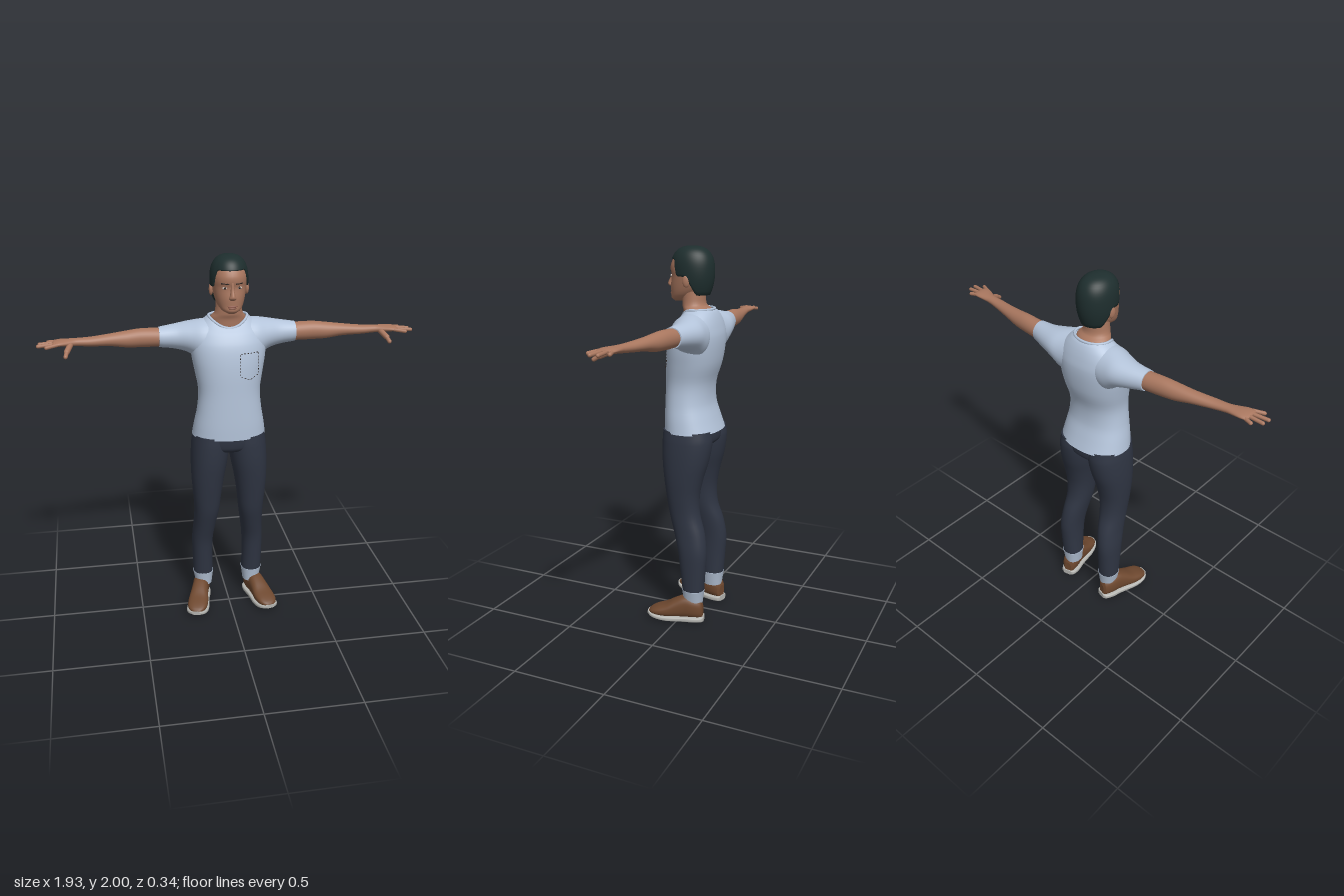
import * as THREE from 'three';

const mat = (name, color, side = THREE.FrontSide) => {
  const m = new THREE.MeshStandardMaterial({ color, side });
  m.name = name;
  return m;
};
const M = {
  skin: mat('skin', 0xa9775f), hair: mat('hair', 0x1e2e2e, THREE.DoubleSide),
  shirt: mat('shirt', 0xb4c4da, THREE.DoubleSide), trousers: mat('trousers', 0x2f3543),
  cuff: mat('cuff', 0xafbdd0), shoe: mat('shoe leather', 0x6e482f), sole: mat('sole', 0xb4b4b0),
  eye: mat('eye white', 0xc9bdb4), dark: mat('dark detail', 0x2a221f), lip: mat('lips', 0x8e5a4b),
};

// Smooth interpolation of rows [t, centreA, centreB, radiusA, radiusB, frontDrop] at t
function sample(rows, t) {
  let i = 0;
  while (i < rows.length - 2 && t > rows[i + 1][0]) i++;
  const p = rows[i], q = rows[i + 1], h = q[0] - p[0], s = (t - p[0]) / h;
  const slope = (k, c) => {
    const a = rows[Math.max(k - 1, 0)], b = rows[Math.min(k + 1, rows.length - 1)];
    return ((b[c] || 0) - (a[c] || 0)) / (b[0] - a[0]);
  };
  return [t, ...[1, 2, 3, 4, 5].map((c) => {
    const s2 = s * s, s3 = s2 * s;
    return (2 * s3 - 3 * s2 + 1) * (p[c] || 0) + (s3 - 2 * s2 + s) * h * slope(i, c)
      + (3 * s2 - 2 * s3) * (q[c] || 0) + (s3 - s2) * h * slope(i + 1, c);
  })];
}

// Turns rings of points into a closed skin, facing outward
function skinRings(rings, capEnd = true) {
  const n = rings[0].length, pos = rings.flat(2), idx = [];
  for (let r = 0; r < rings.length - 1; r++) for (let i = 0; i < n; i++) {
    const a = r * n + i, b = r * n + (i + 1) % n;
    idx.push(a, a + n, b, b, a + n, b + n);
  }
  const cap = (ring, flip) => {
    const base = pos.length / 3;
    pos.push(...ring.flat());
    pos.push(...[0, 1, 2].map((k) => ring.reduce((s, p) => s + p[k], 0) / n));
    for (let i = 0; i < n; i++) {
      const a = base + i, b = base + (i + 1) % n;
      idx.push(base + n, ...(flip ? [b, a] : [a, b]));
    }
  };
  cap(rings[0], false);
  if (capEnd) cap(rings[rings.length - 1], true);
  const v = (i) => new THREE.Vector3(...pos.slice(i * 3, i * 3 + 3)).sub(new THREE.Vector3(...rings[0][0]));
  let vol = 0;
  for (let i = 0; i < idx.length; i += 3) vol += v(idx[i]).dot(v(idx[i + 1]).cross(v(idx[i + 2])));
  if (vol < 0) for (let i = 0; i < idx.length; i += 3) [idx[i], idx[i + 1]] = [idx[i + 1], idx[i]];
  const g = new THREE.BufferGeometry();
  g.setAttribute('position', new THREE.Float32BufferAttribute(pos, 3));
  g.setIndex(idx);
  g.computeVertexNormals();
  return g;
}

// Loft of superellipse sections along one axis
function loft(rows, axis = 'y', { p = 2, side = 1, n = 32, steps = 4, capEnd = true } = {}) {
  const rings = [], pw = (v) => Math.sign(v) * Math.abs(v) ** (2 / p);
  for (let r = 0; r <= (rows.length - 1) * steps; r++) {
    const k = Math.min(Math.floor(r / steps), rows.length - 2), f = r / steps - k;
    const [t, a, b, ra, rb, drop] = sample(rows, rows[k][0] * (1 - f) + rows[k + 1][0] * f);
    rings.push(Array.from({ length: n }, (_, i) => {
      const th = (i / n) * Math.PI * 2, s = Math.sin(th);
      const u = a + ra * pw(Math.cos(th)), v = b + rb * pw(s), w = t + drop * Math.max(0, s) ** 2;
      return axis === 'y' ? [side * u, w, v] : axis === 'x' ? [side * w, u, v] : [side * u, v, w];
    }));
  }
  return skinRings(rings, capEnd);
}

function add(parent, name, geo, material) {
  const m = new THREE.Mesh(geo, material);
  m.name = name;
  parent.add(m);
  return m;
}
function ball(parent, name, material, pos, scale) {
  const m = add(parent, name, new THREE.SphereGeometry(1, 20, 14), material);
  m.position.set(...pos);
  m.scale.set(...scale);
  return m;
}
function capsule(parent, name, material, a, b, r) {
  const A = new THREE.Vector3(...a), d = new THREE.Vector3(...b).sub(A);
  const m = add(parent, name, new THREE.CapsuleGeometry(r, d.length(), 5, 12), material);
  m.position.copy(A).addScaledVector(d, 0.5);
  m.quaternion.setFromUnitVectors(new THREE.Vector3(0, 1, 0), d.normalize());
}

// Dashed seam laid on the front (+1) or back (-1) of a lofted surface
function stitch(parent, name, rows, p, pts, face) {
  for (let k = 0; k < pts.length - 1; k++) {
    const [x0, y0] = pts[k], [x1, y1] = pts[k + 1], len = Math.hypot(x1 - x0, y1 - y0);
    const count = Math.max(1, Math.round(len / 0.016));
    for (let i = 0; i < count; i++) {
      const f = (i + 0.5) / count, x = x0 + (x1 - x0) * f, y = y0 + (y1 - y0) * f;
      const [, a, b, ra, rb] = sample(rows, y);
      const z = b + face * rb * Math.max(0, 1 - Math.abs((x - a) / ra) ** p) ** (1 / p);
      const m = add(parent, name, new THREE.BoxGeometry(0.009, 0.0025, 0.005), M.dark);
      m.position.set(x, y, z);
      m.rotation.z = Math.atan2(y1 - y0, x1 - x0);
    }
  }
}

const SHIRT = [[1.05, 0, -0.02, 0.196, 0.146], [1.12, 0, -0.007, 0.185, 0.134], [1.2, 0, 0.004, 0.17, 0.122],
  [1.3, 0, 0.002, 0.162, 0.122], [1.4, 0, -0.014, 0.178, 0.136], [1.48, 0, -0.024, 0.192, 0.139],
  [1.55, 0, -0.033, 0.196, 0.133], [1.6, 0, -0.041, 0.185, 0.116], [1.64, 0, -0.045, 0.155, 0.1, -0.015],
  [1.67, 0, -0.043, 0.12, 0.088, -0.035], [1.685, 0, -0.039, 0.1, 0.079, -0.05]];
const SLEEVE = [[0.08, 1.56, -0.045, 0.11, 0.1], [0.14, 1.555, -0.047, 0.112, 0.105], [0.2, 1.573, -0.06, 0.083, 0.092],
  [0.27, 1.578, -0.064, 0.065, 0.07], [0.355, 1.58, -0.053, 0.052, 0.053]];
const ARM = [[0.33, 1.58, -0.053, 0.046, 0.046], [0.36, 1.58, -0.052, 0.048, 0.047], [0.45, 1.582, -0.046, 0.048, 0.044],
  [0.52, 1.581, -0.038, 0.043, 0.042], [0.6, 1.584, -0.027, 0.032, 0.036], [0.7, 1.585, -0.008, 0.024, 0.031],
  [0.77, 1.588, 0, 0.02, 0.027], [0.81, 1.59, 0.007, 0.018, 0.036], [0.85, 1.592, 0.014, 0.016, 0.046],
  [0.88, 1.591, 0.018, 0.012, 0.046], [0.888, 1.59, 0.018, 0.006, 0.04]];
const LEG = [[0.165, 0.14, -0.072, 0.055, 0.058], [0.3, 0.143, -0.07, 0.056, 0.07], [0.4, 0.142, -0.066, 0.058, 0.079],
  [0.5, 0.132, -0.045, 0.061, 0.085], [0.6, 0.123, -0.015, 0.068, 0.083], [0.7, 0.121, -0.004, 0.077, 0.089],
  [0.8, 0.117, -0.006, 0.088, 0.106], [0.9, 0.108, -0.014, 0.098, 0.126], [1, 0.1, -0.02, 0.1, 0.135],
  [1.06, 0.098, -0.018, 0.092, 0.13]];
const HEAD = [[1.72, 0, 0.075, 0.018, 0.018], [1.735, 0, 0.055, 0.046, 0.055], [1.76, 0, 0.03, 0.065, 0.08],
  [1.8, 0, 0.008, 0.078, 0.103], [1.85, 0, -0.001, 0.086, 0.106], [1.88, 0, 0, 0.088, 0.111],
  [1.91, 0, 0, 0.086, 0.108], [1.95, 0, -0.005, 0.076, 0.09], [1.985, 0, -0.008, 0.045, 0.055]];

// Hair cap whose lower edge runs from the forehead past the ears to the nape
function hairGeometry() {
  const n = 64, rings = [], step = THREE.MathUtils.smoothstep;
  for (let r = 0; r <= 19; r++) rings.push(Array.from({ length: n }, (_, i) => {
    const th = (i / n) * Math.PI * 2, s = Math.sin(th);
    const edge = 1.755 + 0.095 * step(s, -0.6, 0.1) + 0.085 * step(s, 0.42, 0.68);
    const f = Math.min(r, 18) / 18, y = 2 - (2 - edge) * f * f * (2 - f) ** 0.5;
    const u = (y - 1.87) / 0.13;
    let k = u > 0 ? Math.max(0, 1 - u ** 2.6) ** (1 / 2.6) : 1 - 0.27 * u * u;
    if (r === 19) k *= 0.85;
    return [0.097 * k * Math.cos(th), y, -0.005 + 0.117 * k * s];
  }));
  return skinRings(rings, false);
}

function buildHead(g) {
  add(g, 'head', loft(HEAD, 'y', { p: 2.15 }), M.skin);
  add(g, 'neck', loft([[1.6, 0, -0.04, 0.1, 0.07], [1.65, 0, -0.039, 0.095, 0.073], [1.68, 0, -0.034, 0.092, 0.071],
    [1.705, 0, -0.016, 0.073, 0.062], [1.75, 0, -0.012, 0.066, 0.06], [1.8, 0, -0.01, 0.064, 0.06]]), M.skin);
  add(g, 'hair', hairGeometry(), M.hair);
  add(g, 'nose', loft([[1.79, 0, 0.106, 0.01, 0.008], [1.801, 0, 0.112, 0.019, 0.019], [1.815, 0, 0.111, 0.014, 0.022],
    [1.845, 0, 0.103, 0.009, 0.015], [1.878, 0, 0.101, 0.009, 0.01]], 'y', { n: 20 }), M.skin);
  ball(g, 'upper lip', M.lip, [0, 1.761, 0.107], [0.025, 0.005, 0.008]);
  ball(g, 'lower lip', M.lip, [0, 1.752, 0.106], [0.021, 0.006, 0.009]);
  for (const s of [1, -1]) {
    ball(g, 'eye', M.eye, [s * 0.036, 1.851, 0.095], [0.014, 0.006, 0.007]);
    ball(g, 'iris', M.dark, [s * 0.036, 1.851, 0.099], [0.006, 0.006, 0.004]);
    capsule(g, 'eyebrow', M.dark, [s * 0.02, 1.872, 0.107], [s * 0.052, 1.873, 0.091], 0.0035);
    ball(g, 'ear', M.skin, [s * 0.09, 1.828, -0.008], [0.011, 0.032, 0.019]).rotation.y = s * 0.3;
  }
}

function buildArm(g, side) {
  add(g, 'sleeve', loft(SLEEVE, 'x', { side }), M.shirt);
  add(g, 'arm', loft(ARM, 'x', { side }), M.skin);
  const fingers = [[0.054, 0.916, 0.077], [0.031, 0.957, 0.045], [0.007, 0.951, 0.008], [-0.015, 0.91, -0.026]];
  for (const [z0, x1, z1] of fingers) {
    capsule(g, 'finger', M.skin, [side * 0.865, 1.591, z0], [side * x1, 1.586, z1], 0.0095);
  }
  capsule(g, 'thumb', M.skin, [side * 0.8, 1.582, 0.025], [side * 0.819, 1.56, 0.075], 0.0145);
  capsule(g, 'thumb tip', M.skin, [side * 0.819, 1.56, 0.075], [side * 0.826, 1.543, 0.103], 0.0105);
}

function buildLeg(g, side) {
  add(g, 'trouser leg', loft(LEG, 'y', { p: 2.2, side }), M.trousers);
  add(g, 'trouser cuff', loft([[0.1, 0.138, -0.07, 0.046, 0.052], [0.14, 0.139, -0.071, 0.052, 0.056],
    [0.178, 0.14, -0.072, 0.058, 0.061]], 'y', { p: 2.2, side }), M.cuff);

  // Shoe, toe turned outward
  const shoe = new THREE.Group();
  shoe.name = 'shoe';
  shoe.position.set(side * 0.175, 0, 0.02);
  shoe.rotation.y = side * 0.26;
  g.add(shoe);
  const outline = [[-0.152, 0.02, 0.09], [-0.142, 0.035, 0.115], [-0.1, 0.046, 0.135], [-0.05, 0.046, 0.14],
    [0, 0.05, 0.12], [0.05, 0.056, 0.092], [0.1, 0.053, 0.074], [0.13, 0.039, 0.06], [0.146, 0.017, 0.047]];
  const lift = (z) => 0.02 * Math.max(0, z / 0.146) ** 2;
  const upper = outline.map(([z, w, top]) => {
    const low = 0.016 + lift(z);
    return [z, 0, (top + low) / 2, w, (top - low) / 2];
  });
  add(shoe, 'shoe upper', loft(upper, 'z', { p: 2.5 }), M.shoe);
  const sole = outline.map(([z, w]) => [z * 1.04, 0, 0.015 + lift(z), w + 0.006, 0.015 - lift(z) * 0.25]);
  add(shoe, 'shoe sole', loft(sole, 'z', { p: 4 }), M.sole);
}

export function createModel() {
  const model = new THREE.Group();
  model.name = 'standing man';
  buildHead(model);

  // Shirt with neckband and stitched chest pocket
  add(model, 'shirt body', loft(SHIRT, 'y', { p: 2.25, n: 48, capEnd: false }), M.shirt);
  const band = Array.from({ length: 24 }, (_, i) => {
    const th = (i / 24) * Math.PI * 2, s = Math.sin(th);
    return new THREE.Vector3(0.1 * Math.cos(th), 1.684 - 0.05 * Math.max(0, s) ** 2, -0.039 + 0.079 * s);
  });
  add(model, 'neckband', new THREE.TubeGeometry(new THREE.CatmullRomCurve3(band, true), 64, 0.007, 8, true), M.shirt);
  stitch(model, 'chest pocket seam', SHIRT, 2.25,
    [[0.04, 1.515], [0.14, 1.515], [0.14, 1.4], [0.09, 1.377], [0.04, 1.4], [0.04, 1.515]], 1);

  // Trousers
  add(model, 'trouser seat', loft([[0.955, 0, -0.015, 0.07, 0.07], [0.975, 0, -0.016, 0.13, 0.11],
    [1.0, 0, -0.018, 0.185, 0.128], [1.06, 0, -0.016, 0.19, 0.132]], 'y', { p: 2.3 }), M.trousers);
  for (const side of [1, -1]) {
    buildArm(model, side);
    buildLeg(model, side);
  }
  return model;
}
